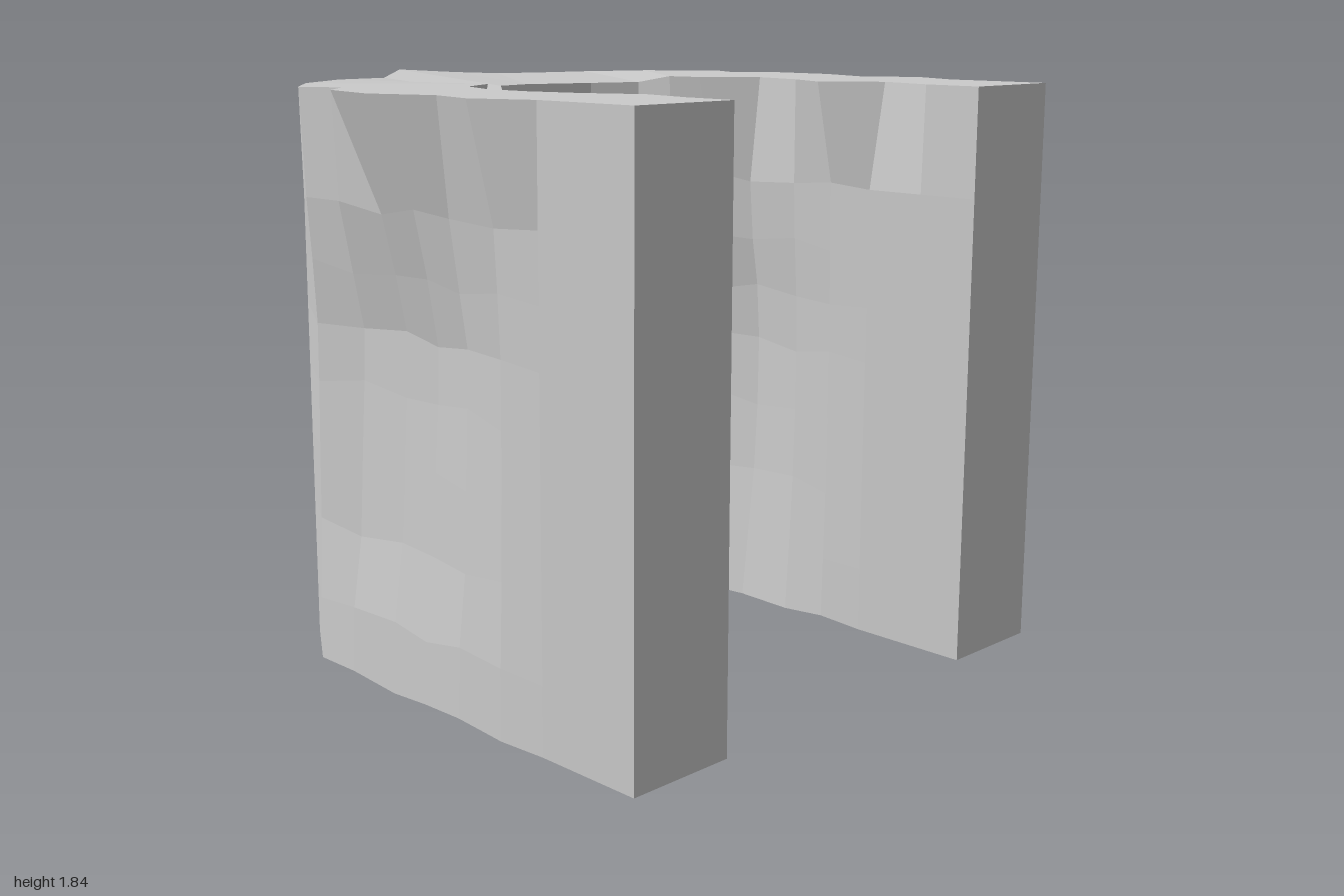
import * as THREE from 'three';

const material = new THREE.MeshStandardMaterial({ color: 0xcccccc, side: THREE.DoubleSide });

// Plan outlines as [x, z], from the left-hand front end around the back to the other end
const bodyOuter = [[-.885, .92], [-.885, .56], [-.885, .38], [-.885, .19], [-.885, .03], [-.885, -.12], [-.885, -.33],
  [-.87, -.52], [-.73, -.74], [-.51, -.85], [-.33, -.865], [-.2, -.87], [.04, -.875], [.2, -.875], [.35, -.87],
  [.54, -.855], [.755, -.745], [.88, -.51], [.912, -.33], [.915, -.12], [.915, .03], [.915, .19], [.915, .38],
  [.915, .56], [.915, .92]];
const rimOuter = [[-.885, .92], [-.885, .56], [-.965, .37], [-.92, .19], [-1, -.02], [-.95, -.26], [-.84, -.36],
  [-.905, -.49], [-.75, -.68], [-.52, -.83], [-.33, -.84], [-.2, -.925], [.04, -.925], [.2, -.88], [.35, -.83],
  [.55, -.8], [.77, -.72], [.96, -.53], [.87, -.36], [.985, -.26], [.985, -.02], [.905, .19], [1, .37],
  [.915, .56], [.915, .92]];
const bodyInner = [[-.525, .92], [-.525, .74], [-.525, .55], [-.525, .37], [-.525, .2], [-.525, .02], [-.515, -.15],
  [-.45, -.27], [-.335, -.4], [-.2, -.45], [-.13, -.49], [.04, -.53], [.25, -.45], [.37, -.34], [.45, -.26],
  [.52, -.13], [.555, 0], [.555, .2], [.555, .36], [.555, .52], [.555, .72], [.555, .92]];
const rimInner = [[-.525, .92], [-.515, .74], [-.475, .55], [-.56, .37], [-.6, .2], [-.6, .02], [-.53, -.15],
  [-.38, -.24], [-.34, -.4], [-.18, -.4], [-.1, -.51], [.04, -.54], [.26, -.46], [.43, -.4], [.45, -.27],
  [.47, -.15], [.61, 0], [.56, .2], [.48, .36], [.62, .52], [.565, .72], [.555, .92]];

// Heights of the rows, and how deep the faces are hollowed at each
const rows = [.01, .22, .46, .7, .92, 1.1, 1.28, 1.48];
const hollowInner = [0, .04, .08, .1, .105, .085, .045, .02];
const hollowSide = [0, .01, .045, .06, .075, .08, .045, 0];
const hollowBack = [0, .025, .045, .03, .03, .04, .025, .01];
const leanCentre = [0, .01, .015, 0, -.01, -.015, -.025, -.01];

function rimHeight(x, z) {
  if (z < -.9) return x < 0 ? 1.84 : 1.825;
  if (Math.abs(x + .18) < .02 && z > -.41 && z < -.39) return 1.77;
  if (Math.abs(x) < .44 && z > -.56 && z < -.39) return 1.795;
  return 1.818;
}

// Hollowed position of an inner point: pushed outward, fading to the front ends
function hollowedInner([x, z], r) {
  const away = new THREE.Vector2(x, Math.min(z, 0)).normalize();
  const fade = THREE.MathUtils.smoothstep(-z, -.55, .35);
  return [x + away.x * hollowInner[r] * fade, z + away.y * hollowInner[r] * fade];
}

// Hollowed position of an outer point: sides pushed in, back pushed forward, corners kept
function hollowedOuter([x, z], r) {
  if (z > -.6) {
    const fade = THREE.MathUtils.smoothstep(-z, -.55, 0) * THREE.MathUtils.smoothstep(z, -.65, -.3);
    return [x - Math.sign(x) * hollowSide[r] * fade, z];
  }
  if (z > -.76) return [x, z];
  const off = THREE.MathUtils.smoothstep(Math.abs(x), .1, .5);
  return [x, z + THREE.MathUtils.lerp(leanCentre[r], hollowBack[r], off)];
}

// Geometry from quads [a, b, c, d], each with one flat normal
function quadGeometry(quads) {
  const positions = [];
  const normals = [];
  for (const [a, b, c, d] of quads) {
    const normal = c.clone().sub(a).cross(d.clone().sub(b)).normalize();
    for (const p of [a, b, d, d, b, c]) {
      positions.push(p.x, p.y, p.z);
      normals.push(normal.x, normal.y, normal.z);
    }
  }
  const geometry = new THREE.BufferGeometry();
  geometry.setAttribute('position', new THREE.Float32BufferAttribute(positions, 3));
  geometry.setAttribute('normal', new THREE.Float32BufferAttribute(normals, 3));
  return geometry;
}

const rimPoint = ([x, z]) => new THREE.Vector3(x, rimHeight(x, z), z);

// Rings of the closed outline, joined from the ground to the rim; the underside stays open
function buildWall() {
  const rings = rows.map((y, r) => [
    ...bodyOuter.map(p => hollowedOuter(p, r)),
    ...bodyInner.map(p => hollowedInner(p, r)).reverse(),
  ].map(([x, z], i) => {
    const wave = z > .4 ? 0 : Math.sin(i * 2.3 + r * 1.7) * (r === 0 ? .008 : .015);
    return new THREE.Vector3(x, y + wave, z);
  }));
  rings.push([...rimOuter, ...[...rimInner].reverse()].map(rimPoint));
  const quads = [];
  for (let r = 0; r < rings.length - 1; r++) {
    rings[r].forEach((a, i) => {
      const next = (i + 1) % rings[r].length;
      quads.push([a, rings[r + 1][i], rings[r + 1][next], rings[r][next]]);
    });
  }
  return quadGeometry(quads);
}

// Top strip, bridging the outer rim to the inner rim
function buildTop() {
  const inner = i => rimInner[Math.round(i * (rimInner.length - 1) / (rimOuter.length - 1))];
  const quads = [];
  for (let i = 0; i < rimOuter.length - 1; i++) {
    quads.push([rimOuter[i], inner(i), inner(i + 1), rimOuter[i + 1]].map(rimPoint));
  }
  return quadGeometry(quads);
}

export function createModel() {
  const group = new THREE.Group();
  group.name = 'horseshoeWall';
  const wall = new THREE.Mesh(buildWall(), material);
  wall.name = 'wallFaces';
  const top = new THREE.Mesh(buildTop(), material);
  top.name = 'wallTop';
  group.add(wall, top);
  return group;
}
